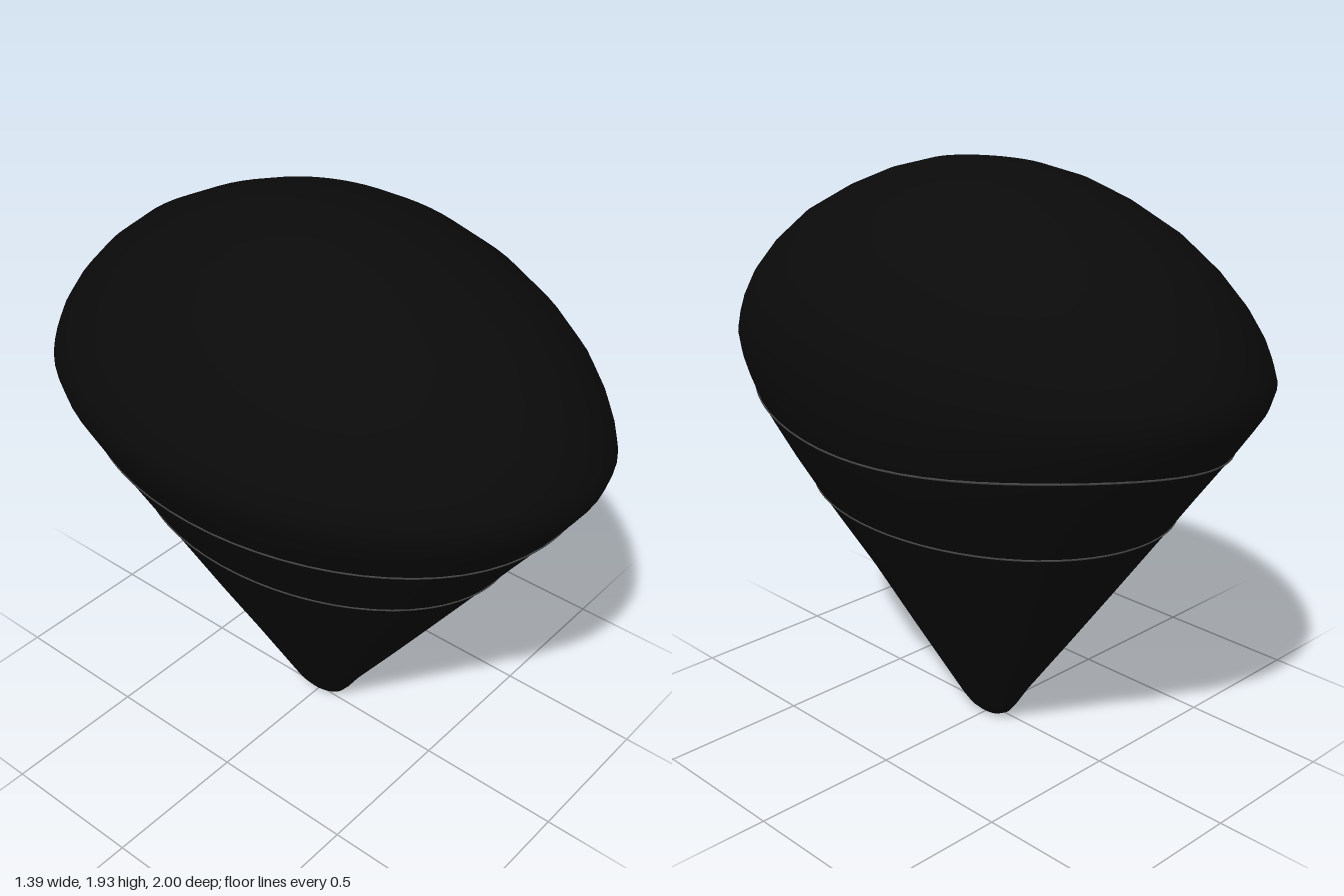
import * as THREE from 'three';
import { mergeVertices } from 'three/addons/utils/BufferGeometryUtils.js';

const CX = 0.02; // x of the tip and crown
// Height, extent towards -x, extent towards +x, half depth
const ROWS = [
  [0, 0, 0, 0], [0.005, 0.025, 0.025, 0.055], [0.025, 0.05, 0.045, 0.09],
  [0.06, 0.075, 0.068, 0.118], [0.13, 0.113, 0.108, 0.163], [0.34, 0.222, 0.22, 0.318],
  [0.56, 0.34, 0.335, 0.478], [0.84, 0.485, 0.5, 0.68], [0.96, 0.548, 0.565, 0.765],
  [1.08, 0.61, 0.622, 0.852], [1.14, 0.642, 0.648, 0.895], [1.21, 0.676, 0.663, 0.943],
  [1.27, 0.705, 0.67, 0.982], [1.33, 0.72, 0.672, 1], [1.38, 0.708, 0.668, 0.985],
  [1.44, 0.69, 0.66, 0.957], [1.52, 0.647, 0.637, 0.905], [1.62, 0.575, 0.58, 0.815],
  [1.72, 0.485, 0.5, 0.69], [1.81, 0.375, 0.395, 0.52], [1.87, 0.27, 0.29, 0.375],
  [1.91, 0.155, 0.165, 0.23], [1.926, 0.07, 0.075, 0.1], [1.93, 0, 0, 0],
];

// Point of the shell at height y and angle a (a = 0 faces +x)
function shellPoint(y, a) {
  let i = 0;
  while (i < ROWS.length - 2 && ROWS[i + 1][0] < y) i++;
  const t = (y - ROWS[i][0]) / (ROWS[i + 1][0] - ROWS[i][0]);
  const [, l, r, d] = ROWS[i].map((v, k) => THREE.MathUtils.lerp(v, ROWS[i + 1][k], t));
  const c = Math.cos(a);
  return new THREE.Vector3(CX + c * (c > 0 ? r : l), y, d * Math.sin(a));
}

// Closed skin lofted through the oval rows
function shellGeometry(sides) {
  const pos = [], index = [];
  ROWS.forEach(([y], j) => {
    for (let i = 0; i < sides; i++) {
      pos.push(...shellPoint(y, (i / sides) * Math.PI * 2).toArray());
      if (j === 0) continue;
      const n = (i + 1) % sides, lo = (j - 1) * sides, hi = j * sides;
      if (j > 1) index.push(lo + i, hi + i, lo + n);
      if (j < ROWS.length - 1) index.push(lo + n, hi + i, hi + n);
      else if (j === 1) index.push(lo + n, hi + i, hi + n);
    }
  });
  const geo = new THREE.BufferGeometry();
  geo.setAttribute('position', new THREE.Float32BufferAttribute(pos, 3));
  geo.setIndex(index);
  const merged = mergeVertices(geo);
  merged.computeVertexNormals();
  return merged;
}

// Fine line hugging the shell at a height given by angle
function seam(name, heightAt, material) {
  const pts = Array.from({ length: 72 }, (_, i) => {
    const a = (i / 72) * Math.PI * 2;
    return shellPoint(heightAt(a), a);
  });
  const curve = new THREE.CatmullRomCurve3(pts, true);
  const mesh = new THREE.Mesh(new THREE.TubeGeometry(curve, 144, 0.004, 6, true), material);
  mesh.name = name;
  return mesh;
}

export function createModel() {
  const group = new THREE.Group();
  group.name = 'domedCone';
  const black = new THREE.MeshStandardMaterial({ color: 0x0a0a0a });
  const grey = new THREE.MeshStandardMaterial({ color: 0x444444 });

  const shell = new THREE.Mesh(shellGeometry(64), black);
  shell.name = 'shell';
  group.add(shell);

  // Upper seam rises at the two shoulders of the +x side
  group.add(seam('upperSeam', (a) => {
    const b = Math.abs(a > Math.PI ? a - Math.PI * 2 : a);
    const rise = b < Math.PI * 2 / 3 ? Math.sin(b * 1.5) ** 2 : 0;
    return 1.115 + 0.05 * rise;
  }, grey));
  // Lower seam is slightly higher on the -x side
  group.add(seam('lowerSeam', (a) => 0.853 - 0.016 * Math.cos(a), grey));
  return group;
}
